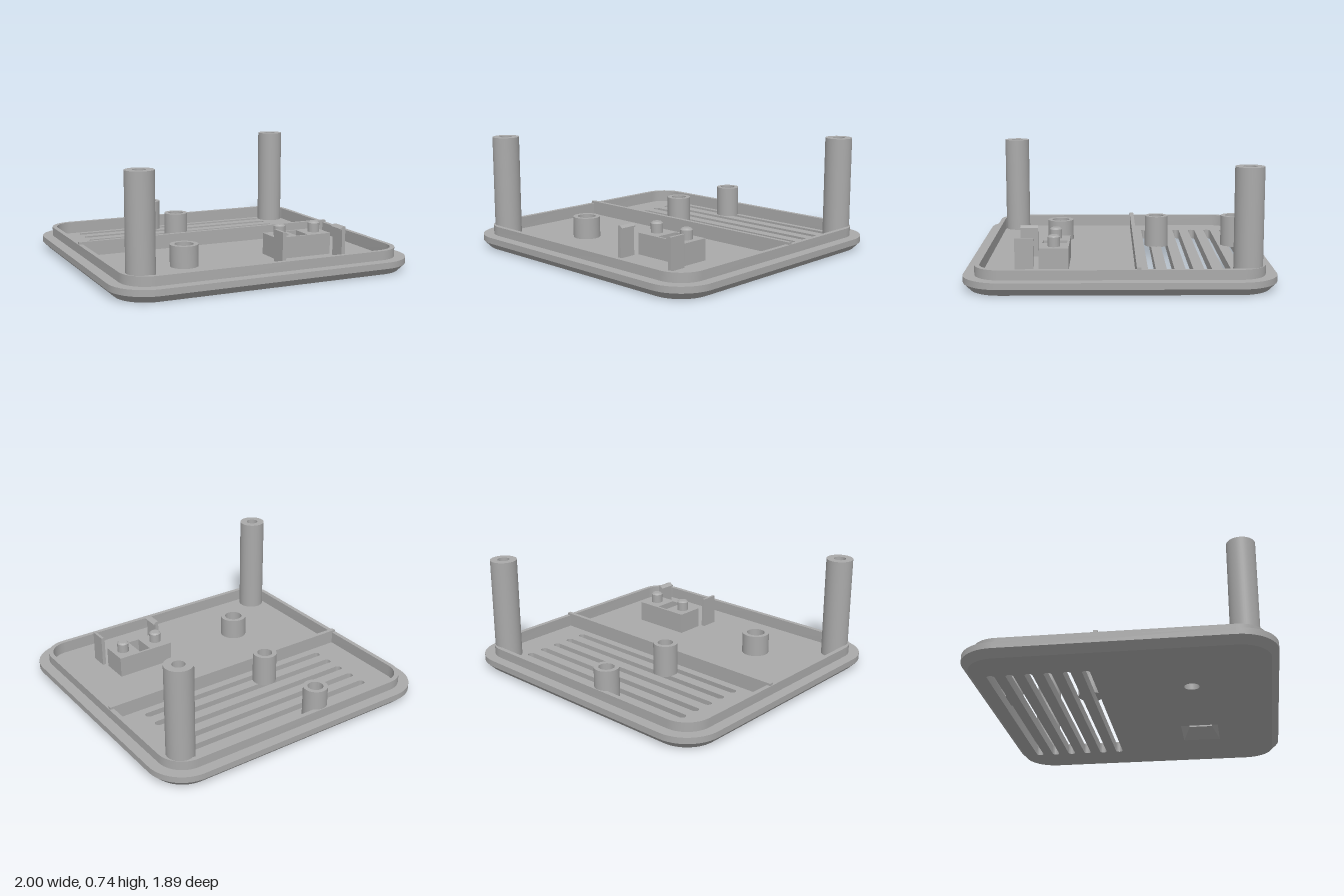
import * as THREE from 'three';
import { toCreasedNormals } from 'three/addons/utils/BufferGeometryUtils.js';

const FLOOR = 0.065; // top of the floor
const plastic = new THREE.MeshStandardMaterial({ color: 0xaaaaaa });
plastic.name = 'grey plastic';

export function createModel() {
  const model = new THREE.Group();
  model.name = 'deviceCover';

  const add = (name, geometry) => {
    const mesh = new THREE.Mesh(toCreasedNormals(geometry, 0.6), plastic);
    mesh.name = name;
    model.add(mesh);
    return mesh;
  };

  // Rounded rectangle outline, corner by corner, in (x, z)
  const outline = (hx, hz, r, steps = 12) => {
    const pts = [];
    [[1, 1], [-1, 1], [-1, -1], [1, -1]].forEach(([sx, sz], q) => {
      for (let i = 0; i <= steps; i++) {
        const a = (q + i / steps) * Math.PI / 2;
        pts.push(new THREE.Vector2(sx * (hx - r) + r * Math.cos(a), sz * (hz - r) + r * Math.sin(a)));
      }
    });
    return pts;
  };

  const rectHole = (x, z, w, d) => new THREE.Path([
    [-1, -1], [-1, 1], [1, 1], [1, -1],
  ].map(([sx, sz]) => new THREE.Vector2(x + sx * w / 2, z + sz * d / 2)));

  // Horizontal slab from a shape drawn in (x, z)
  const slab = (name, shape, y0, y1) => {
    const g = new THREE.ExtrudeGeometry(shape, { depth: y1 - y0, bevelEnabled: false, curveSegments: 16 });
    g.rotateX(Math.PI / 2).translate(0, y1, 0);
    return add(name, g);
  };

  const box = (name, x0, x1, y0, y1, z0, z1) => add(name,
    new THREE.BoxGeometry(x1 - x0, y1 - y0, z1 - z0)
      .translate((x0 + x1) / 2, (y0 + y1) / 2, (z0 + z1) / 2));

  const turned = (name, x, z, profile) => add(name, new THREE.LatheGeometry(
    profile.map(([r, y]) => new THREE.Vector2(r, y)), 40).translate(x, 0, z));

  // Closed strips joining a stack of equal-length outlines
  const loft = (rings) => {
    const pos = [], index = [], n = rings[0].pts.length;
    rings.forEach(({ pts, y }) => pts.forEach((p) => pos.push(p.x, y, p.y)));
    for (let i = 0; i < rings.length - 1; i++) {
      for (let j = 0; j < n; j++) {
        const a = i * n + j, b = i * n + (j + 1) % n;
        index.push(a, a + n, b, b, a + n, b + n);
      }
    }
    const g = new THREE.BufferGeometry();
    g.setAttribute('position', new THREE.Float32BufferAttribute(pos, 3));
    g.setIndex(index);
    return g;
  };

  // Chamfered rim, ledge and raised lip
  add('rim', loft([
    [0.955, 0.9, 0.195, 0],
    [1, 0.945, 0.24, 0.045],
    [1, 0.945, 0.24, 0.085],
    [0.93, 0.875, 0.17, 0.085],
    [0.93, 0.875, 0.17, 0.145],
    [0.9, 0.845, 0.14, 0.145],
    [0.9, 0.845, 0.14, FLOOR - 0.01],
  ].map(([hx, hz, r, y]) => ({ pts: outline(hx, hz, r), y }))));

  // Floor in two layers, with vent slots, button hole and window
  const floorShape = (windowW, windowD) => {
    const shape = new THREE.Shape(outline(0.955, 0.9, 0.195));
    for (let i = 0; i < 6; i++) {
      const z = -0.785 + i * 0.117, r = 0.024, e = 0.715 - r;
      const slot = new THREE.Path();
      slot.absarc(e, z, r, -Math.PI / 2, Math.PI / 2, false);
      slot.absarc(-e, z, r, Math.PI / 2, Math.PI * 1.5, false);
      slot.closePath();
      shape.holes.push(slot);
    }
    const button = new THREE.Path();
    button.absarc(-0.4, 0.41, 0.048, 0, Math.PI * 2, true);
    shape.holes.push(button, rectHole(0.4, 0.41, windowW, windowD));
    return shape;
  };
  slab('floorBottom', floorShape(0.28, 0.25), 0, FLOOR - 0.005);
  slab('floorTop', floorShape(0.08, 0.155), FLOOR - 0.005, FLOOR);

  // Tapered window recess in the underside
  const rect = (w, d) => [[1, 1], [-1, 1], [-1, -1], [1, -1]].map(
    ([sx, sz]) => new THREE.Vector2(0.4 + sx * w / 2, 0.41 + sz * d / 2));
  add('windowFunnel', loft([
    { pts: rect(0.08, 0.155), y: FLOOR - 0.004 },
    { pts: rect(0.28, 0.25), y: 0 },
  ]));

  // Cross wall
  box('dividerWall', -0.925, 0.925, FLOOR - 0.003, 0.16, -0.122, -0.095);

  // Tall screw posts and short bosses, with blind bores
  const blindPost = (name, x, z, R, r, top) => turned(name, x, z, [
    [0, FLOOR - 0.003], [R, FLOOR - 0.003], [R, top], [r, top], [r, FLOOR + 0.01], [0, FLOOR + 0.01],
  ]);
  blindPost('tallPostBack', 0.813, -0.762, 0.088, 0.04, 0.74);
  blindPost('tallPostFront', -0.815, 0.754, 0.088, 0.04, 0.74);
  blindPost('bossBack', -0.18, -0.79, 0.079, 0.05, 0.272);
  blindPost('bossMiddle', -0.18, -0.262, 0.079, 0.05, 0.272);

  // Button guide, open through the floor
  turned('buttonGuide', -0.4, 0.41, [
    [0.06, FLOOR - 0.003], [0.09, FLOOR - 0.003], [0.09, 0.205], [0.06, 0.205], [0.06, FLOOR - 0.003],
  ]);

  // Sensor block with a central window and two pegs
  const block = new THREE.Shape(rect(0.4, 0.185));
  block.holes.push(rectHole(0.4, 0.41, 0.08, 0.155));
  slab('sensorBlock', block, FLOOR - 0.003, 0.205);
  for (const x of [0.272, 0.527]) {
    turned('peg', x, 0.41, [[0.039, 0.2], [0.039, 0.265], [0.028, 0.275], [0, 0.275]]);
  }

  // Pair of hooked clips facing each other
  for (const s of [-1, 1]) {
    const profile = [[0.228, 0.062], [0.228, 0.272], [0.21, 0.272], [0.19, 0.258], [0.19, 0.25], [0.204, 0.25], [0.204, 0.062]];
    const shape = new THREE.Shape(profile.map(([x, y]) => new THREE.Vector2(0.397 + s * x, y)));
    add(s < 0 ? 'clipRight' : 'clipLeft', new THREE.ExtrudeGeometry(shape,
      { depth: 0.115, bevelEnabled: false }).translate(0, 0, 0.533));
  }

  return model;
}
